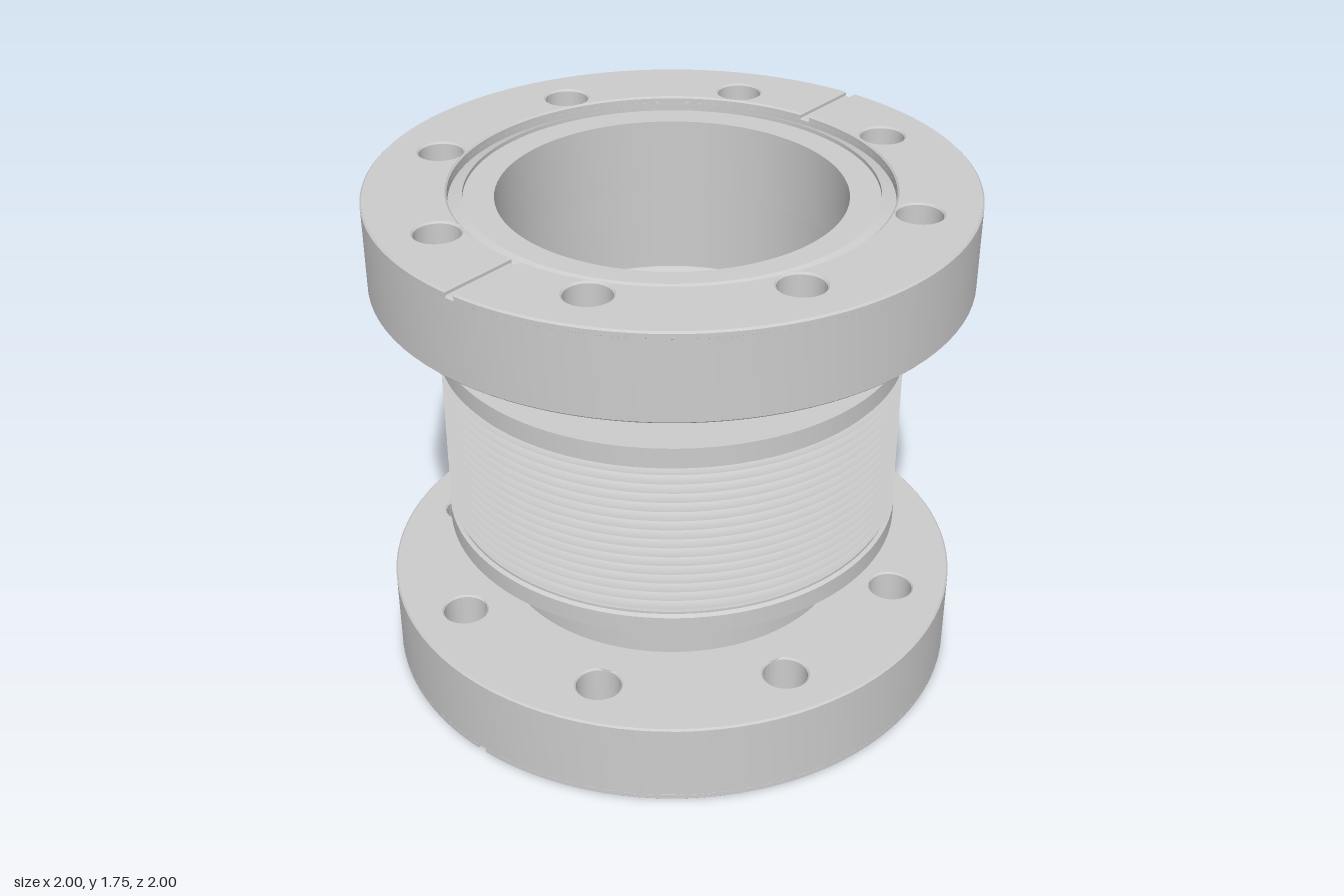
import * as THREE from 'three';
import { toCreasedNormals } from 'three/addons/utils/BufferGeometryUtils.js';

const MID = 0.875;      // height of the mid-plane
const BORE = 0.575;     // inner radius of the tube
const RECESS = 0.725;   // gasket recess radius in the flange face
const BEVEL = 0.006;
const SEG = 96;

const material = new THREE.MeshStandardMaterial({ color: 0xcccccc });
const thinMaterial = new THREE.MeshStandardMaterial({ color: 0xcccccc, side: THREE.DoubleSide });

function mesh(name, geometry, mat = material) {
  const m = new THREE.Mesh(toCreasedNormals(geometry, 0.5), mat);
  m.name = name;
  return m;
}

function lathe(points) {
  return new THREE.LatheGeometry(points.map(([r, y]) => new THREE.Vector2(r, y)), SEG);
}

// Ring of solid section: profile runs counter-clockwise and is closed here
function ring(points) {
  return lathe([...points, points[0]]);
}

function circlePath(x, y, r) {
  return new THREE.Path().absarc(x, y, r, 0, Math.PI * 2, true);
}

// Bolt holes between two angles, eight around the full circle
function boltHoles(from, to) {
  const holes = [];
  for (let i = 0; i < 8; i++) {
    const a = -Math.PI / 2 + (i + 0.5) * Math.PI / 4;
    if (a > from && a < to) holes.push(circlePath(0.81 * Math.cos(a), 0.81 * Math.sin(a), 0.075));
  }
  return holes;
}

// Bevelled plate whose straight walls run from y0 to y1
function plate(shape, y0, y1) {
  const g = new THREE.ExtrudeGeometry(shape, {
    depth: y1 - y0, curveSegments: 48, bevelEnabled: true, bevelSegments: 1,
    bevelSize: BEVEL, bevelThickness: BEVEL, bevelOffset: -BEVEL,
  });
  return g.rotateX(-Math.PI / 2).translate(0, y0, 0);
}

// Half of the flange face; the gap between the halves is the leak-check groove
function faceHalf() {
  const half = 0.018;
  const outer = Math.PI / 2 - Math.asin(half);
  const inner = Math.PI / 2 - Math.asin(half / RECESS);
  const shape = new THREE.Shape();
  shape.absarc(0, 0, 1, -outer, outer, false);
  shape.absarc(0, 0, RECESS, inner, -inner, true);
  shape.closePath();
  shape.holes.push(...boltHoles(-Math.PI / 2, Math.PI / 2));
  return plate(shape, 0.853, 0.869);
}

// Flange, neck and collar of one end, heights measured from the mid-plane
function createEnd(name) {
  const end = new THREE.Group();
  end.name = name;

  const body = new THREE.Shape().absarc(0, 0, 1, 0, Math.PI * 2, false);
  body.holes.push(circlePath(0, 0, RECESS), ...boltHoles(-Math.PI, Math.PI * 2));
  end.add(mesh('flangeBody', plate(body, 0.581, 0.853)));

  for (const turn of [0, Math.PI]) {
    const face = mesh('flangeFace', faceHalf());
    face.rotation.y = turn;
    end.add(face);
  }

  // Flange centre with the sloping sealing ridge
  end.add(mesh('sealingHub', ring([
    [BORE, 0.575], [0.735, 0.575], [0.735, 0.833], [0.677, 0.856], [0.677, 0.843], [BORE, 0.843],
  ])));

  // Tube neck with the collar that carries the bellows
  end.add(mesh('neckAndCollar', ring([
    [BORE, 0.275], [0.775, 0.275], [0.775, 0.284], [0.788, 0.291],
    [0.788, 0.355], [0.61, 0.355], [0.61, 0.575], [BORE, 0.575],
  ])));
  return end;
}

// Thin rippled discs joined alternately at their inner and outer rims
function createBellows() {
  const folds = 16, steps = 6, low = -0.275, height = 0.55;
  const points = [];
  for (let i = 0; i <= folds * 2 * steps; i++) {
    const p = i / steps;
    const t = 1 - Math.abs((p % 2) - 1);    // 0 at the inner rim, 1 at the outer rim
    const ripple = 0.007 * Math.sin(t * Math.PI * 2);
    points.push([0.66 + 0.125 * t, low + height * p / (folds * 2) + ripple]);
  }
  return mesh('bellows', lathe(points), thinMaterial);
}

export function createModel() {
  const model = new THREE.Group();
  model.name = 'flangedBellows';

  const top = createEnd('topEnd');
  const bottom = createEnd('bottomEnd');
  bottom.rotation.x = Math.PI;
  const bellows = createBellows();

  for (const part of [top, bottom, bellows]) {
    part.position.y = MID;
    model.add(part);
  }
  return model;
}
